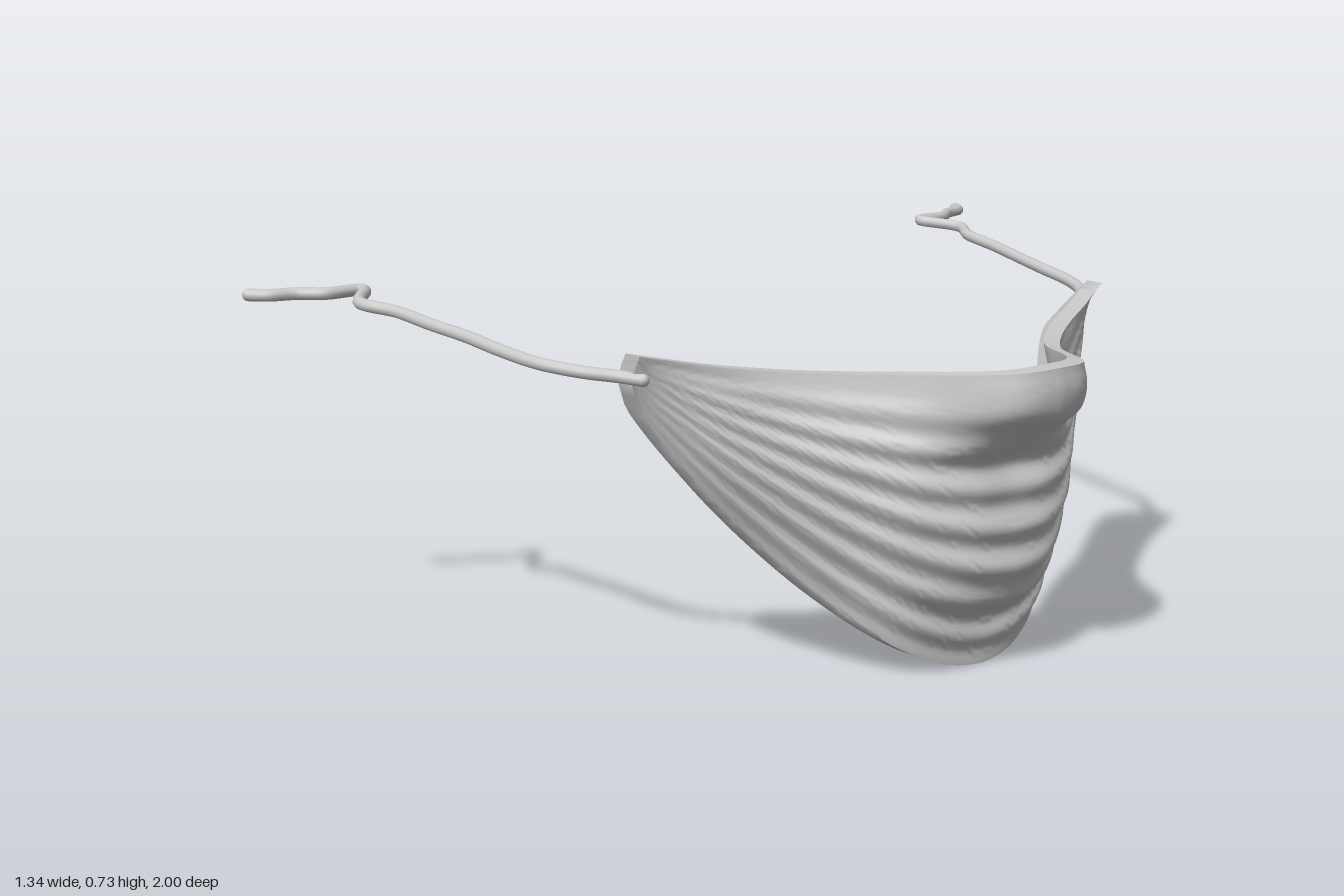
import * as THREE from 'three';
import { toCreasedNormals } from 'three/addons/utils/BufferGeometryUtils.js';

// Smooth interpolation through values at uneven knots
function spline(knots, vals, t) {
  const n = knots.length;
  let i = 0;
  while (i < n - 2 && t > knots[i + 1]) i++;
  const slope = (k) => {
    const a = Math.max(k - 1, 0), b = Math.min(k + 1, n - 1);
    return (vals[b] - vals[a]) / (knots[b] - knots[a]);
  };
  const h = knots[i + 1] - knots[i], u = (t - knots[i]) / h;
  const m0 = i === 0 ? slope(0) * 0.3 : slope(i);
  const u2 = u * u, u3 = u2 * u;
  return (2 * u3 - 3 * u2 + 1) * vals[i] + (u3 - 2 * u2 + u) * h * m0
    + (3 * u2 - 2 * u3) * vals[i + 1] + (u3 - u2) * h * slope(i + 1);
}

// Distance from the middle of the face, and the edges and depth there
const Z = [0, 0.1, 0.2, 0.3, 0.4, 0.5, 0.6, 0.63];
const TOP = [0.637, 0.632, 0.62, 0.62, 0.628, 0.642, 0.662, 0.668];
const BOTTOM = [0.002, 0.018, 0.07, 0.16, 0.272, 0.395, 0.545, 0.61];
const S = [0, 0.1, 0.2, 0.3, 0.5, 0.7, 0.85, 1];
const DEPTH = [
  [0.66, 0.668, 0.625, 0.535, 0.55, 0.545, 0.475, 0.46],
  [0.625, 0.635, 0.59, 0.535, 0.54, 0.525, 0.47, 0.445],
  [0.47, 0.485, 0.49, 0.49, 0.49, 0.465, 0.435, 0.405],
  [0.375, 0.39, 0.40, 0.41, 0.405, 0.385, 0.355, 0.32],
  [0.305, 0.315, 0.32, 0.325, 0.325, 0.31, 0.28, 0.245],
  [0.25, 0.25, 0.255, 0.255, 0.25, 0.24, 0.22, 0.197],
  [0.195, 0.19, 0.188, 0.184, 0.175, 0.165, 0.155, 0.145],
  [0.18, 0.178, 0.175, 0.17, 0.165, 0.16, 0.157, 0.155],
];
const HALF = 0.63, THICK = 0.045;

function maskGeometry() {
  const cols = 120, rows = 72, ring = 2 * (rows + 1);
  const pos = [], idx = [];
  for (let i = 0; i <= cols; i++) {
    const z = HALF * (2 * i / cols - 1), az = Math.abs(z);
    const top = spline(Z, TOP, az), bottom = spline(Z, BOTTOM, az);
    const flare = THREE.MathUtils.smoothstep(az, 0.4, 0.6) * (1 - THREE.MathUtils.smoothstep(az, 0.6, 0.66));
    for (let j = 0; j < ring; j++) {
      const outer = j <= rows;
      const s = (outer ? j : ring - 1 - j) / rows;
      let x = spline(Z, DEPTH.map((d) => spline(S, d, s)), az);
      // One cheek flares further back along the lower edge
      if (z < 0) x -= 0.07 * s * flare;
      // Cloth folds fan out from the corners on the outside only
      const fade = Math.min(1, s / 0.3) * Math.min(1, (1 - s) / 0.08) * Math.min(1, (HALF - az) / 0.35);
      if (outer) x += 0.008 * fade * Math.sin(2 * Math.PI * s / 0.127 + 0.63 + 0.8 * Math.sin(z * 5));
      else x -= THICK;
      pos.push(x, top + (bottom - top) * s, z);
    }
  }
  for (let i = 0; i < cols; i++) {
    for (let j = 0; j < ring; j++) {
      const k = (j + 1) % ring;
      const a = i * ring + j, b = i * ring + k, c = a + ring, d = b + ring;
      idx.push(a, c, b, b, c, d);
    }
  }
  // Close both corner ends
  for (let j = 0; j < rows; j++) {
    const o = j, p = j + 1, q = ring - 1 - j, r = ring - 2 - j, e = cols * ring;
    idx.push(o, p, q, p, r, q, e + o, e + q, e + p, e + p, e + q, e + r);
  }
  const geo = new THREE.BufferGeometry();
  geo.setAttribute('position', new THREE.Float32BufferAttribute(pos, 3));
  geo.setIndex(idx);
  return toCreasedNormals(geo, 0.9);
}

// Tie cord paths as [x, z]; height rises evenly towards the back
const LEFT_CORD = [[0.17, 0.615], [0.13, 0.645], [0.08, 0.69], [0, 0.735], [-0.1, 0.755], [-0.2, 0.765],
  [-0.3, 0.785], [-0.4, 0.8], [-0.48, 0.835], [-0.555, 0.782], [-0.567, 0.787], [-0.572, 0.86],
  [-0.61, 0.905], [-0.63, 0.96], [-0.66, 0.987]];
const RIGHT_CORD = [[0.14, -0.615], [0.1, -0.65], [0.06, -0.685], [0, -0.712], [-0.1, -0.73], [-0.2, -0.75],
  [-0.3, -0.77], [-0.4, -0.783], [-0.47, -0.82], [-0.55, -0.77], [-0.563, -0.775], [-0.565, -0.85],
  [-0.605, -0.91], [-0.625, -0.965], [-0.66, -0.987]];

export function createModel() {
  const group = new THREE.Group();
  const cloth = new THREE.MeshStandardMaterial({ color: 0xc8c8c8 });
  cloth.name = 'grey cloth';
  const add = (geo, name) => {
    const mesh = new THREE.Mesh(geo, cloth);
    mesh.name = name;
    group.add(mesh);
    return mesh;
  };

  add(maskGeometry(), 'faceCovering');

  for (const [name, path] of [['leftCord', LEFT_CORD], ['rightCord', RIGHT_CORD]]) {
    const pts = path.map(([x, z]) =>
      new THREE.Vector3(x, Math.min(0.715, 0.62 + (0.17 - x) * 0.13), z));
    const curve = new THREE.CatmullRomCurve3(pts, false, 'centripetal');
    add(new THREE.TubeGeometry(curve, 160, 0.013, 10), name);
    // Rounded cord tips
    for (const p of [pts[0], pts[pts.length - 1]]) {
      add(new THREE.SphereGeometry(0.013, 10, 8), name + 'Tip').position.copy(p);
    }
  }
  return group;
}
